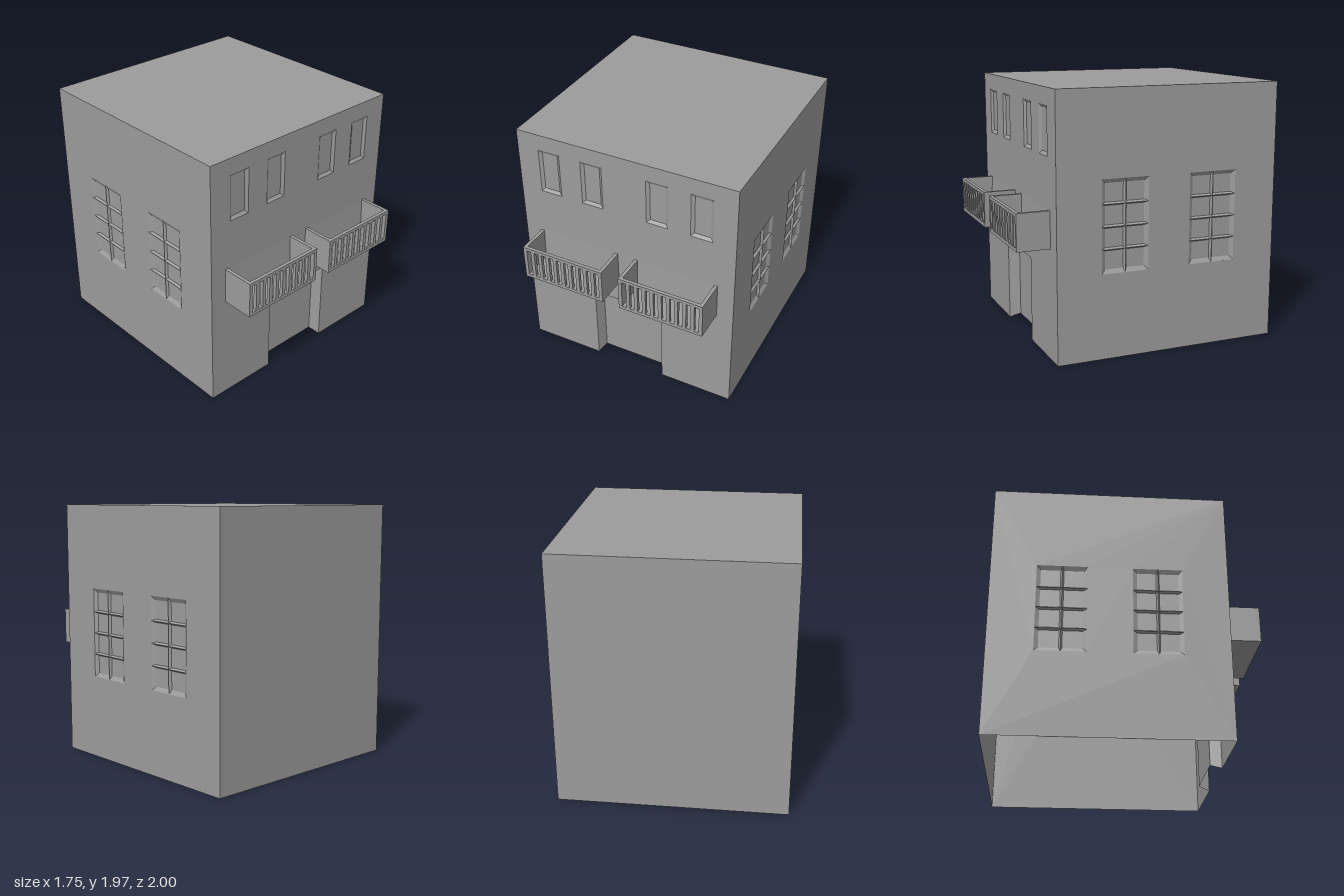
import * as THREE from 'three';

const W = 0.875, H = 1.97, FRONT = 0.75, BACK = -1;
const GREY = 0x9c9c9c;
const shell = new THREE.MeshStandardMaterial({ color: GREY, side: THREE.DoubleSide, flatShading: true });
const solid = new THREE.MeshStandardMaterial({ color: GREY, flatShading: true });

function add(parent, name, geometry, material) {
  const mesh = new THREE.Mesh(geometry, material);
  mesh.name = name;
  parent.add(mesh);
  return mesh;
}

function rectPath(x0, x1, y0, y1, Type = THREE.Path) {
  return new Type([[x0, y0], [x1, y0], [x1, y1], [x0, y1]].map(p => new THREE.Vector2(...p)));
}

// Sunken panel: sloped reveals running from the wall face to a flat inner pane.
// inset = [left, right, bottom, top]
function recessGeometry([x0, x1, y0, y1], inset, depth, openBottom = false) {
  const outer = [[x0, y0, 0], [x1, y0, 0], [x1, y1, 0], [x0, y1, 0]];
  const a = x0 + inset[0], b = x1 - inset[1], c = y0 + inset[2], d = y1 - inset[3];
  const inner = [[a, c, -depth], [b, c, -depth], [b, d, -depth], [a, d, -depth]];
  const pos = [];
  const quad = (p, q, r, s) => pos.push(...p, ...q, ...r, ...p, ...r, ...s);
  quad(...inner);
  for (let i = openBottom ? 1 : 0; i < 4; i++) {
    const j = (i + 1) % 4;
    quad(outer[i], outer[j], inner[j], inner[i]);
  }
  const g = new THREE.BufferGeometry();
  g.setAttribute('position', new THREE.Float32BufferAttribute(pos, 3));
  g.computeVertexNormals();
  return g;
}

// Window of 2 x 4 panes, with pointed glazing bars left standing between them
function gridWindow(parent, [x0, x1, y0, y1]) {
  const group = new THREE.Group();
  group.name = 'gridWindow';
  const xs = [x0, (x0 + x1) / 2, x1];
  const ys = [y0, 0.82, 0.985, 1.15, y1];
  const bar = 0.012, edge = 0.03;
  for (let i = 0; i < 2; i++) for (let j = 0; j < 4; j++) {
    const inset = [i ? bar : edge, i ? edge : bar, j ? bar : edge, j === 3 ? edge : bar];
    add(group, 'windowPane', recessGeometry([xs[i], xs[i + 1], ys[j], ys[j + 1]], inset, 0.018), shell);
  }
  parent.add(group);
}

// Front wall with door notch and four shallow upper windows
function frontWall() {
  const group = new THREE.Group();
  group.name = 'frontWall';
  const dx = 0.29, dy = 0.655;
  const outline = [[-W, 0], [-dx, 0], [-dx, dy], [dx, dy], [dx, 0], [W, 0], [W, H], [-W, H]];
  const shape = new THREE.Shape(outline.map(p => new THREE.Vector2(...p)));
  for (const x of [-0.70, -0.35, 0.177, 0.525]) {
    const r = [x, x + 0.173, 1.487, 1.845];
    shape.holes.push(rectPath(...r));
    add(group, 'upperWindow', recessGeometry(r, [0.024, 0.024, 0.024, 0.024], 0.016), shell);
  }
  add(group, 'frontFace', new THREE.ShapeGeometry(shape), shell);
  add(group, 'doorway', recessGeometry([-dx, dx, 0, dy], [0.028, 0.028, 0.03, 0.03], 0.085, true), shell);
  group.position.z = FRONT;
  return group;
}

// Side wall; side = 1 for the left (+x), -1 for the right (-x)
function sideWall(side) {
  const group = new THREE.Group();
  group.name = side > 0 ? 'leftWall' : 'rightWall';
  const span = (za, zb) => [-side * za, -side * zb].sort((a, b) => a - b);
  const shape = rectPath(...span(FRONT, BACK), 0, H, THREE.Shape);
  for (const [za, zb] of [[0.41, 0.045], [-0.285, -0.662]]) {
    const r = [...span(za, zb), 0.64, 1.33];
    shape.holes.push(rectPath(...r));
    gridWindow(group, r);
  }
  add(group, 'sideFace', new THREE.ShapeGeometry(shape), shell);
  group.rotation.y = side * Math.PI / 2;
  group.position.x = side * W;
  return group;
}

// Balcony: floor, solid ends, a slotted front and a slightly battered back
function balcony(side) {
  const group = new THREE.Group();
  group.name = side > 0 ? 'leftBalcony' : 'rightBalcony';
  const w = 0.675, y0 = 0.832, y1 = 1.11, depth = 0.25, t = 0.027;
  const box = (name, sx, sy, sz, x, y, z) =>
    add(group, name, new THREE.BoxGeometry(sx, sy, sz), solid).position.set(x, y, z);
  box('balconyFloor', w - 2 * t, t, depth - t, 0, y0 + t / 2, (depth - t) / 2);
  for (const s of [-1, 1])
    box('balconyEnd', t, y1 - y0, depth - t, s * (w - t) / 2, (y0 + y1) / 2, (depth - t) / 2);
  const front = rectPath(-w / 2, w / 2, y0, y1, THREE.Shape);
  for (let i = 0; i < 10; i++) {
    const x = (i - 4.5) * 0.0648;
    front.holes.push(rectPath(x - 0.018, x + 0.018, y0 + t, y1 - 0.025));
  }
  const railing = new THREE.ExtrudeGeometry(front, { depth: t, bevelEnabled: false });
  add(group, 'balconyRailing', railing, solid).position.z = depth - t;
  const backHeight = y1 - y0 - t;
  const back = add(group, 'balconyBack', new THREE.PlaneGeometry(w - 2 * t, backHeight), shell);
  back.position.set(0, y1 - backHeight / 2, 0.005);
  back.rotation.x = -0.01 / backHeight;
  group.position.set(side * 0.407, 0, FRONT);
  return group;
}

export function createModel() {
  const model = new THREE.Group();
  model.name = 'house';
  model.add(frontWall(), sideWall(1), sideWall(-1), balcony(1), balcony(-1));

  // Plain back wall and flat roof; the underside stays open
  const back = add(model, 'backWall', new THREE.PlaneGeometry(2 * W, H), shell);
  back.position.set(0, H / 2, BACK);
  back.rotation.y = Math.PI;
  const roof = add(model, 'roof', new THREE.PlaneGeometry(2 * W, FRONT - BACK), shell);
  roof.position.set(0, H, (FRONT + BACK) / 2);
  roof.rotation.x = -Math.PI / 2;
  return model;
}
